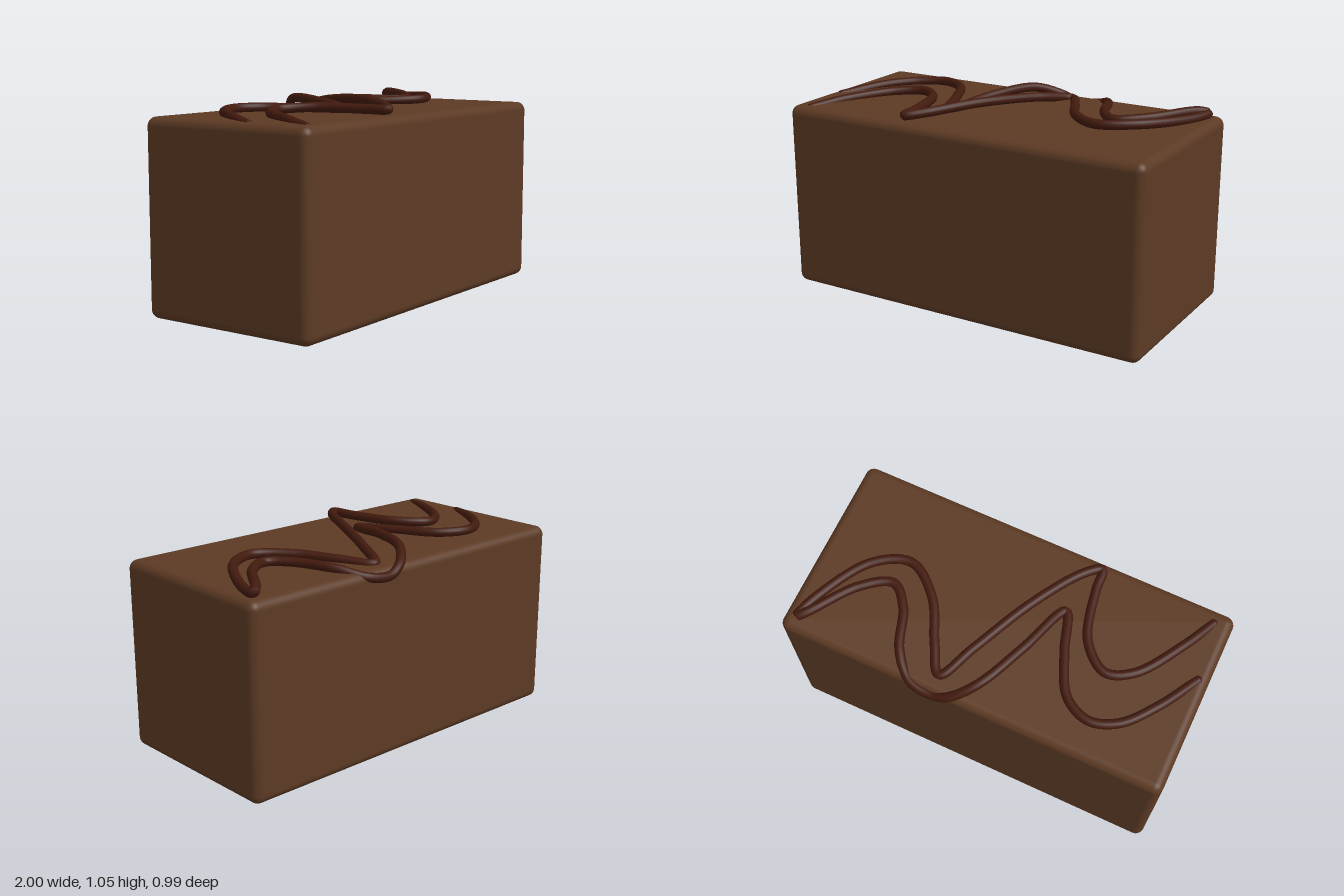
import * as THREE from 'three';
import { RoundedBoxGeometry } from 'three/addons/geometries/RoundedBoxGeometry.js';

export function createModel() {
  const model = new THREE.Group();
  model.name = 'chocolatePiece';

  // Chocolate block with softly rounded edges
  const block = new THREE.Mesh(
    new RoundedBoxGeometry(2, 0.97, 0.966, 6, 0.045),
    new THREE.MeshStandardMaterial({ color: 0x5c3a24 })
  );
  block.name = 'block';
  block.position.set(0, 0.485, 0.013);
  model.add(block);

  // One continuous icing strand: zigzags to the right corner and back, draping over the rear edge
  const path = [
    [-0.945, 0.955, 0.125], [-0.82, 0.98, -0.09], [-0.69, 0.985, -0.24], [-0.555, 0.99, -0.29],
    [-0.42, 0.99, -0.227], [-0.315, 0.985, -0.025], [-0.235, 0.975, 0.175],
    [-0.13, 1.01, -0.1], [-0.02, 1.013, -0.345], [0.085, 0.965, -0.45], [0.165, 0.93, -0.47],
    [0.3, 0.945, -0.455], [0.405, 0.985, -0.345], [0.485, 0.99, -0.145], [0.583, 0.99, -0.05],
    [0.727, 0.998, -0.14], [0.89, 1.003, -0.365], [0.93, 0.99, -0.4],
    [0.895, 0.985, -0.275], [0.727, 0.998, 0], [0.55, 0.995, 0.083], [0.38, 0.988, -0.04],
    [0.27, 0.98, -0.24], [0.18, 0.972, -0.377],
    [0.085, 1.005, -0.2], [-0.075, 1.026, 0.125], [-0.235, 1.01, 0.38], [-0.31, 1.0, 0.44],
    [-0.325, 1.0, 0.325], [-0.395, 1.002, 0.07], [-0.53, 0.995, -0.04], [-0.66, 0.988, 0.02],
    [-0.82, 0.975, 0.255], [-0.905, 0.955, 0.425],
  ].map((p) => new THREE.Vector3(...p));
  const curve = new THREE.CatmullRomCurve3(path, false, 'centripetal');
  const radius = 0.024;
  const icing = new THREE.MeshStandardMaterial({ color: 0x421a0e });
  const strand = new THREE.Mesh(new THREE.TubeGeometry(curve, 500, radius, 16), icing);
  strand.name = 'icingStrand';
  model.add(strand);

  // Rounded strand ends
  for (const end of [path[0], path[path.length - 1]]) {
    const cap = new THREE.Mesh(new THREE.SphereGeometry(radius, 16, 12), icing);
    cap.name = 'icingEnd';
    cap.position.copy(end);
    model.add(cap);
  }
  return model;
}
